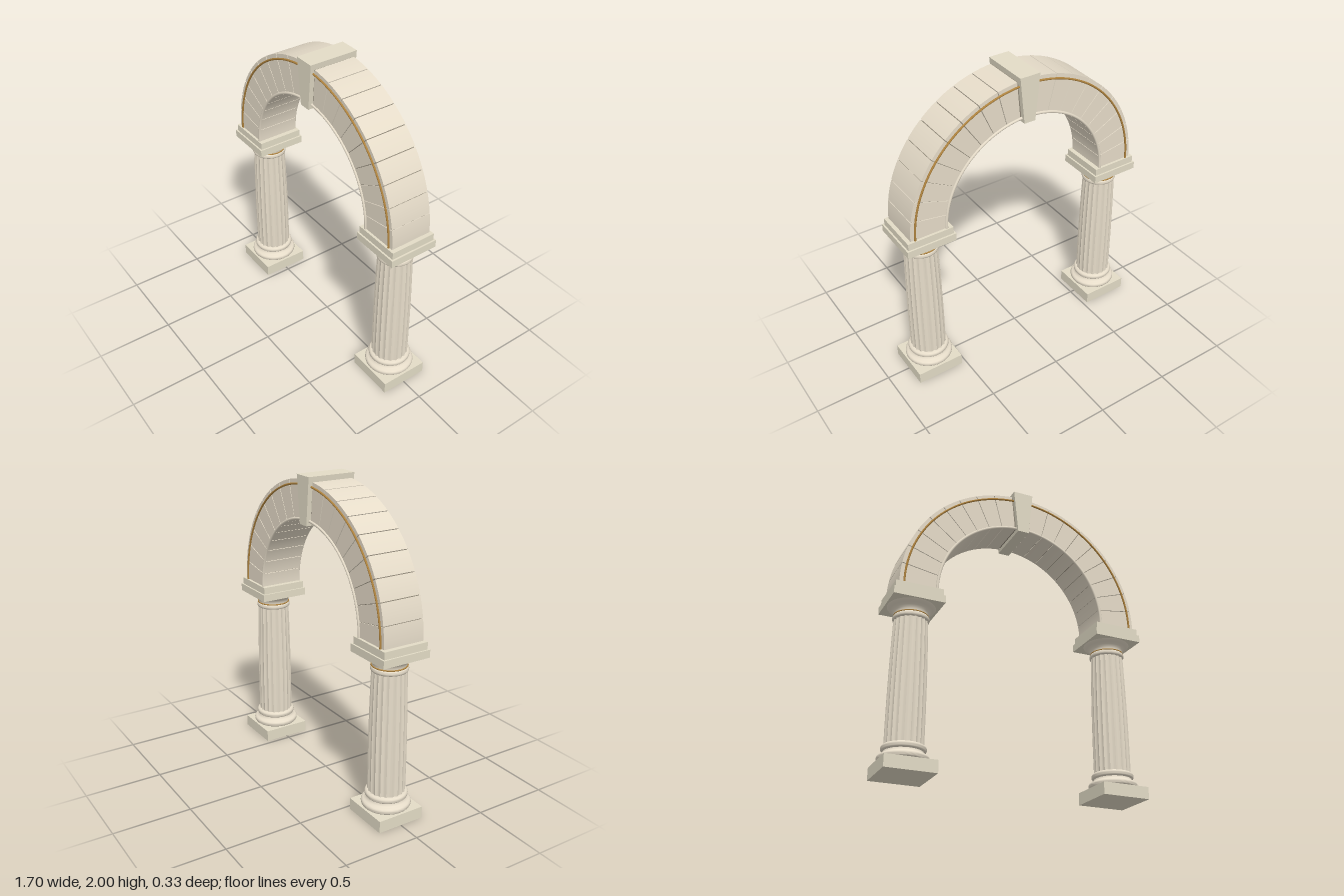
import * as THREE from 'three';
import { toCreasedNormals } from 'three/addons/utils/BufferGeometryUtils.js';

const mat = (name, color) => {
  const m = new THREE.MeshStandardMaterial({ color });
  m.name = name;
  return m;
};

const SPRING = 1.155, COLUMN_X = 0.688, FLUTES = 20;

export function createModel() {
  const stone = mat('limestone', 0xe3dcc6);
  const carved = mat('warm limestone', 0xe6dcc9);
  const gold = mat('aged gold', 0xb0843f);
  const mortar = mat('grey mortar', 0x8f8777);
  const model = new THREE.Group();
  model.name = 'archway';

  const add = (parent, name, geo, material, x = 0, y = 0, z = 0) => {
    const mesh = new THREE.Mesh(geo, material);
    mesh.name = name;
    mesh.position.set(x, y, z);
    parent.add(mesh);
    return mesh;
  };
  const slab = (parent, name, half, y0, y1) =>
    add(parent, name, new THREE.BoxGeometry(half * 2, y1 - y0, half * 2), stone, 0, (y0 + y1) / 2, 0);
  const lathe = (pts) => toCreasedNormals(
    new THREE.LatheGeometry(pts.map(([r, y]) => new THREE.Vector2(r, y)), 48), 0.7);

  // Half-round moulding as profile points
  const bead = (r, bulge, y0, y1, n = 8) => Array.from({ length: n + 1 }, (_, i) => {
    const a = (i / n) * Math.PI;
    return [r + bulge * Math.sin(a), (y0 + y1) / 2 - ((y1 - y0) / 2) * Math.cos(a)];
  });

  // Sector of a ring centred on the spring line, extruded along z
  const sector = (r0, r1, a0, a1, halfDepth, steps) => {
    const s = new THREE.Shape();
    s.absarc(0, 0, r1, a0, a1, false);
    s.absarc(0, 0, r0, a1, a0, true);
    s.closePath();
    const g = new THREE.ExtrudeGeometry(s, { depth: halfDepth * 2, bevelEnabled: false, curveSegments: steps });
    g.translate(0, 0, -halfDepth);
    return toCreasedNormals(g, 0.4);
  };

  // Fluted shaft: tapering cylinder with scalloped radius
  const shaftGeometry = () => {
    const y0 = 0.17, y1 = 0.97;
    const g = new THREE.CylinderGeometry(1, 1, y1 - y0, FLUTES * 6, 12, true);
    const p = g.attributes.position;
    for (let i = 0; i < p.count; i++) {
      const t = p.getY(i) / (y1 - y0) + 0.5;
      const a = Math.atan2(p.getX(i), p.getZ(i));
      const scallop = Math.abs(Math.sin((a * FLUTES) / 2));
      const r = 0.116 + 0.006 * t - 0.016 * t * t - 0.007 * scallop;
      p.setXYZ(i, Math.sin(a) * r, p.getY(i), Math.cos(a) * r);
    }
    g.translate(0, (y0 + y1) / 2, 0);
    return toCreasedNormals(g, 0.8);
  };

  // Columns
  const shaft = shaftGeometry();
  const base = lathe([
    [0.13, 0.075], ...bead(0.138, 0.016, 0.078, 0.118),
    [0.128, 0.123], [0.121, 0.132], [0.119, 0.14],
    ...bead(0.118, 0.015, 0.14, 0.178), [0.1, 0.18],
  ]);
  const capital = lathe([
    [0.09, 0.963], ...bead(0.104, 0.010, 0.965, 0.998),
    [0.104, 1.0], [0.105, 1.012], [0.109, 1.023], [0.117, 1.034],
    [0.13, 1.045], [0.146, 1.054], [0.152, 1.062],
  ]);
  for (const side of [1, -1]) {
    const column = new THREE.Group();
    column.name = side > 0 ? 'leftColumn' : 'rightColumn';
    column.position.x = side * COLUMN_X;
    slab(column, 'plinth', 0.158, 0, 0.077);
    add(column, 'baseMoulding', base, carved);
    add(column, 'flutedShaft', shaft, carved);
    add(column, 'capitalMoulding', capital, carved);
    const ring = new THREE.TorusGeometry(0.106, 0.0045, 8, 48).rotateX(Math.PI / 2);
    add(column, 'neckRing', ring, gold, 0, 1.0, 0);
    slab(column, 'abacus', 0.163, 1.06, 1.109);
    slab(column, 'impostSlab', 0.152, 1.109, SPRING);
    model.add(column);
  }

  // Arch: nine wedge stones on each side over a recessed mortar core
  const arch = new THREE.Group();
  arch.name = 'arch';
  arch.position.y = SPRING;
  model.add(arch);
  const keyAngle = THREE.MathUtils.degToRad(5), count = 9;
  const step = (Math.PI / 2 - keyAngle) / count, gap = 0.0032;
  for (const start of [0, Math.PI / 2 + keyAngle]) {
    for (let i = 0; i < count; i++) {
      const a = start + i * step;
      add(arch, 'archStone', sector(0.565, 0.816, a + gap, a + step - gap, 0.138, 8), carved);
    }
  }
  add(arch, 'mortarCore', sector(0.571, 0.81, 0, Math.PI, 0.132, 72), mortar);

  // Rounded trims on both faces
  for (const z of [0.141, -0.141]) {
    add(arch, 'goldTrim', new THREE.TorusGeometry(0.786, 0.0065, 10, 96, Math.PI), gold, 0, 0, z);
    add(arch, 'innerTrim', new THREE.TorusGeometry(0.574, 0.009, 10, 96, Math.PI), carved, 0, 0, z * 0.98);
  }

  // Keystone
  const key = new THREE.Shape([
    new THREE.Vector2(-0.038, 1.7), new THREE.Vector2(0.038, 1.7),
    new THREE.Vector2(0.068, 2), new THREE.Vector2(-0.068, 2),
  ]);
  const keyGeo = new THREE.ExtrudeGeometry(key, { depth: 0.324, bevelEnabled: false });
  add(model, 'keystone', keyGeo, stone, 0, 0, -0.162);

  return model;
}
